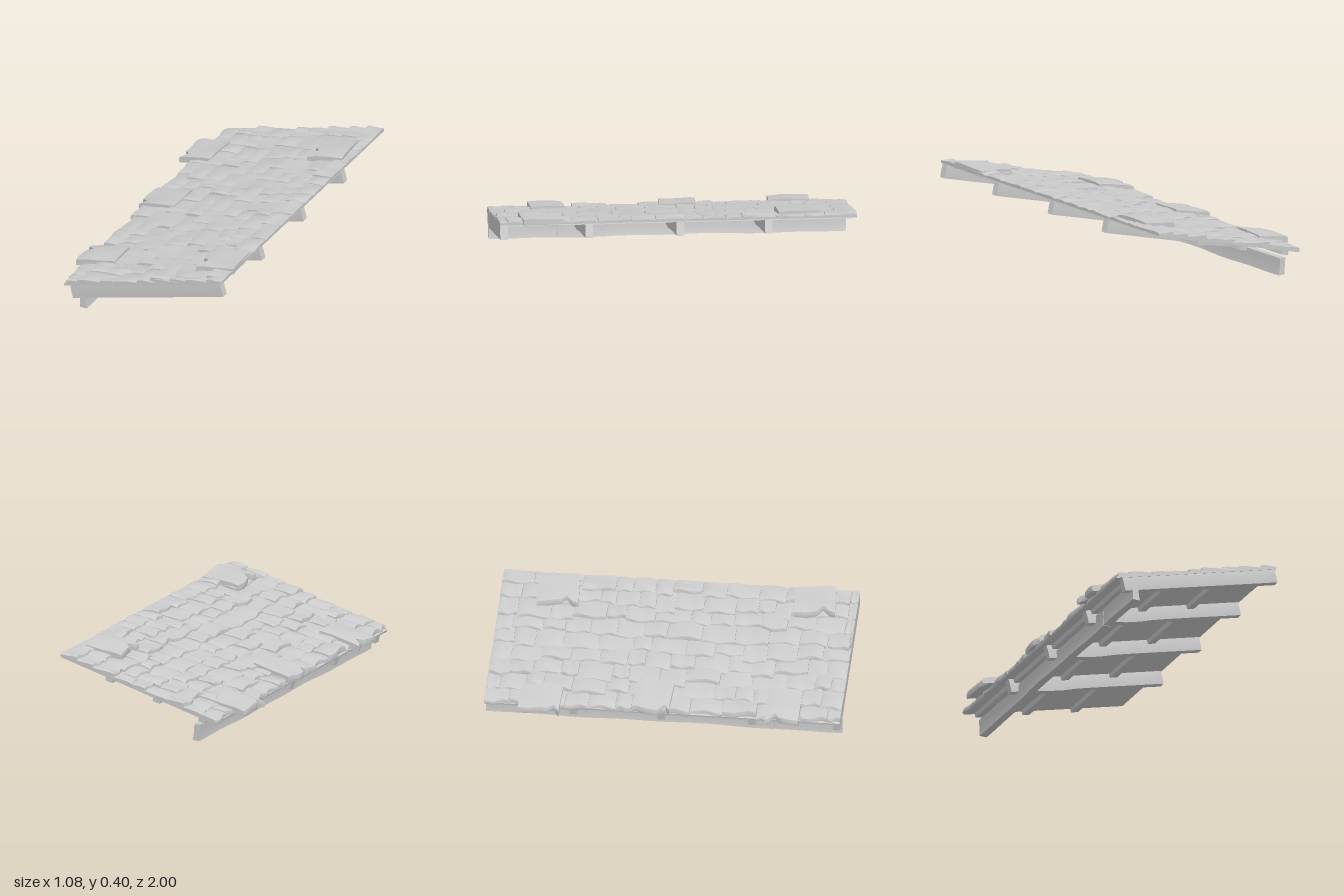
import * as THREE from 'three';

const SLOPE = 0.254;
const ANGLE = Math.atan(SLOPE);
const deckY = (x) => 0.231 + SLOPE * x;
const clamp = THREE.MathUtils.clamp;
const mat = new THREE.MeshStandardMaterial({ color: 0xcccccc, roughness: 0.9 });

// small seeded random
let seed = 11;
const rand = (a = 0, b = 1) => {
  seed = (seed * 16807) % 2147483647;
  return a + (b - a) * (seed / 2147483647);
};

function add(parent, name, geo) {
  const mesh = new THREE.Mesh(geo, mat);
  mesh.name = name;
  parent.add(mesh);
  return mesh;
}

// subdivided box whose vertices are moved by a rule
function warpedBox(w, h, d, sx, sy, sz, rule) {
  const geo = new THREE.BoxGeometry(w, h, d, sx, sy, sz);
  const p = geo.attributes.position;
  const v = new THREE.Vector3();
  for (let i = 0; i < p.count; i++) {
    v.fromBufferAttribute(p, i);
    rule(v);
    p.setXYZ(i, v.x, v.y, v.z);
  }
  geo.computeVertexNormals();
  return geo;
}

// wooden tile lying on the slope; heights are measured above the deck
function tile({ x0, x1, z0, z1, front, back, under, yaw = 0, skew = 0, notch = -1, bump = 0.003 }) {
  const phase = rand(0, 6);
  const cx = (x0 + x1) / 2, cz = (z0 + z1) / 2;
  return warpedBox(1, 1, 1, 5, 2, 7, (v) => {
    const t = v.x + 0.5, s = v.z + 0.5, top = v.y + 0.5;
    let x = x0 + t * (x1 - x0);
    const z = z0 + s * (z1 - z0);
    // ragged front edge, with an optional split
    if (t < 0.01) {
      x += 0.006 * Math.sin(s * 7 + phase) + skew * (s - 0.5);
      if (Math.abs(s - notch) < 0.08) x += 0.035;
    }
    // rounded front lip and side edges
    const lip = (t < 0.01 ? 0.005 : 0) + (s < 0.01 || s > 0.99 ? 0.004 : 0);
    const wave = bump * (Math.sin(s * 6 + phase) + Math.sin(t * 5 + s * 3 + phase * 2));
    const hTop = front + (back - front) * t + wave - lip;
    const h = THREE.MathUtils.lerp(under(hTop), hTop, top);
    if (t < 0.01 && v.y === 0) x -= 0.004;
    const dx = x - cx, dz = z - cz, c = Math.cos(yaw), n = Math.sin(yaw);
    const px = Math.min(cx + dx * c + dz * n, 0.54);
    v.set(px, deckY(px) + h, clamp(cz - dx * n + dz * c, -1, 1));
  });
}

function createModel() {
  const model = new THREE.Group();
  model.name = 'shingledRoof';

  // sloping deck under the shingles
  const deck = add(model, 'deck', new THREE.BoxGeometry(1.014, 0.012, 2));
  deck.position.set(0.031, deckY(0.031) + 0.006, 0);
  deck.rotation.z = ANGLE;

  // rafters running up the slope, slightly bowed
  [0.977, 0.5, -0.01, -0.505].forEach((z, i) => {
    const sag = i === 0 ? 0 : 0.008;
    const geo = warpedBox(0.97, 0.078, 0.045, 12, 2, 1, (v) => {
      if (v.y < 0) v.y -= sag * Math.exp(-(((v.x + 0.2) / 0.1) ** 2));
      if (Math.abs(v.y) > 0.03) v.z *= 0.9;
    });
    const rafter = add(model, 'rafter', geo);
    rafter.position.set(0.055, 0.205, z);
    rafter.rotation.z = ANGLE;
  });

  // battens running along the length
  [0.22, -0.08, -0.37].forEach((x) => {
    const batten = add(model, 'batten', new THREE.BoxGeometry(0.045, 0.028, 1.98));
    batten.position.set(x, deckY(x) - 0.012, 0);
    batten.rotation.z = ANGLE;
  });

  // eaves board below the rafters, in two lengths meeting at a split
  [[-1, 0.618], [0.622, 1]].forEach(([a, b]) => {
    const geo = warpedBox(0.036, 0.1, b - a, 1, 3, 24, (v) => {
      const z = v.z + (a + b) / 2;
      if (v.y < -0.04) {
        v.y += 0.005 + 0.005 * Math.sin(z * 9) * Math.sin(z * 4);
        v.x *= 1.2;
      }
      v.x += 0.003 * Math.sin(z * 6) - v.y * 0.08;
      v.y = Math.max(v.y, -0.05);
    });
    add(model, 'eavesBoard', geo).position.set(-0.342, 0.05, (a + b) / 2);
  });

  // overlapping rows of uneven shingles
  const shingles = new THREE.Group();
  shingles.name = 'shingles';
  model.add(shingles);
  const pitch = 0.109;
  for (let row = 0; row < 9; row++) {
    const x = -0.46 + row * pitch;
    let z = -1 - rand(0, 0.08);
    while (z < 0.99) {
      const width = rand(0.09, 0.2);
      const x0 = row === 0 ? x + rand(-0.006, 0.012) : x + rand(-0.02, 0.02) - (rand() < 0.15 ? 0.03 : 0);
      const lift = rand(-0.007, 0.007);
      add(shingles, 'shingle', tile({
        x0, x1: Math.min(x + pitch * 1.6, 0.525),
        z0: Math.max(z, -1), z1: Math.min(z + width - 0.002, 1),
        front: 0.04 + lift, back: row === 8 ? 0.02 : 0.015,
        under: () => 0.004, yaw: row === 0 || row === 8 ? 0 : rand(-0.04, 0.04),
        skew: rand(-0.012, 0.012), bump: 0.002,
      }));
      z += width;
    }
  }

  // large loose boards patched on top
  const patches = [
    { x0: -0.53, x1: -0.34, z0: -0.8, z1: -0.57, front: 0.062, back: 0.045, notch: 0.857, yaw: -0.03 },
    { x0: -0.48, x1: -0.25, z0: -0.16, z1: 0.045, front: 0.062, back: 0.046, notch: 0.857, yaw: -0.05 },
    { x0: -0.5, x1: -0.26, z0: 0.58, z1: 0.77, front: 0.062, back: 0.046, notch: 0.286, yaw: 0.01 },
    { x0: 0.27, x1: 0.475, z0: -0.795, z1: -0.56, front: 0.07, back: 0.045, notch: 0.714, yaw: 0.06 },
    { x0: 0.305, x1: 0.525, z0: 0.645, z1: 0.875, front: 0.068, back: 0.035, notch: 0.714, yaw: 0.07 },
  ];
  patches.forEach((p) => add(model, 'patchBoard', tile({ ...p, under: (h) => h - 0.036, bump: 0.002 })));

  // splinter hanging beneath the deck
  const splinter = add(model, 'splinter', new THREE.BoxGeometry(0.03, 0.01, 0.13));
  splinter.position.set(-0.3, 0.143, -0.1);
  splinter.rotation.set(-0.12, 0.1, ANGLE);

  return model;
}

export { createModel };
